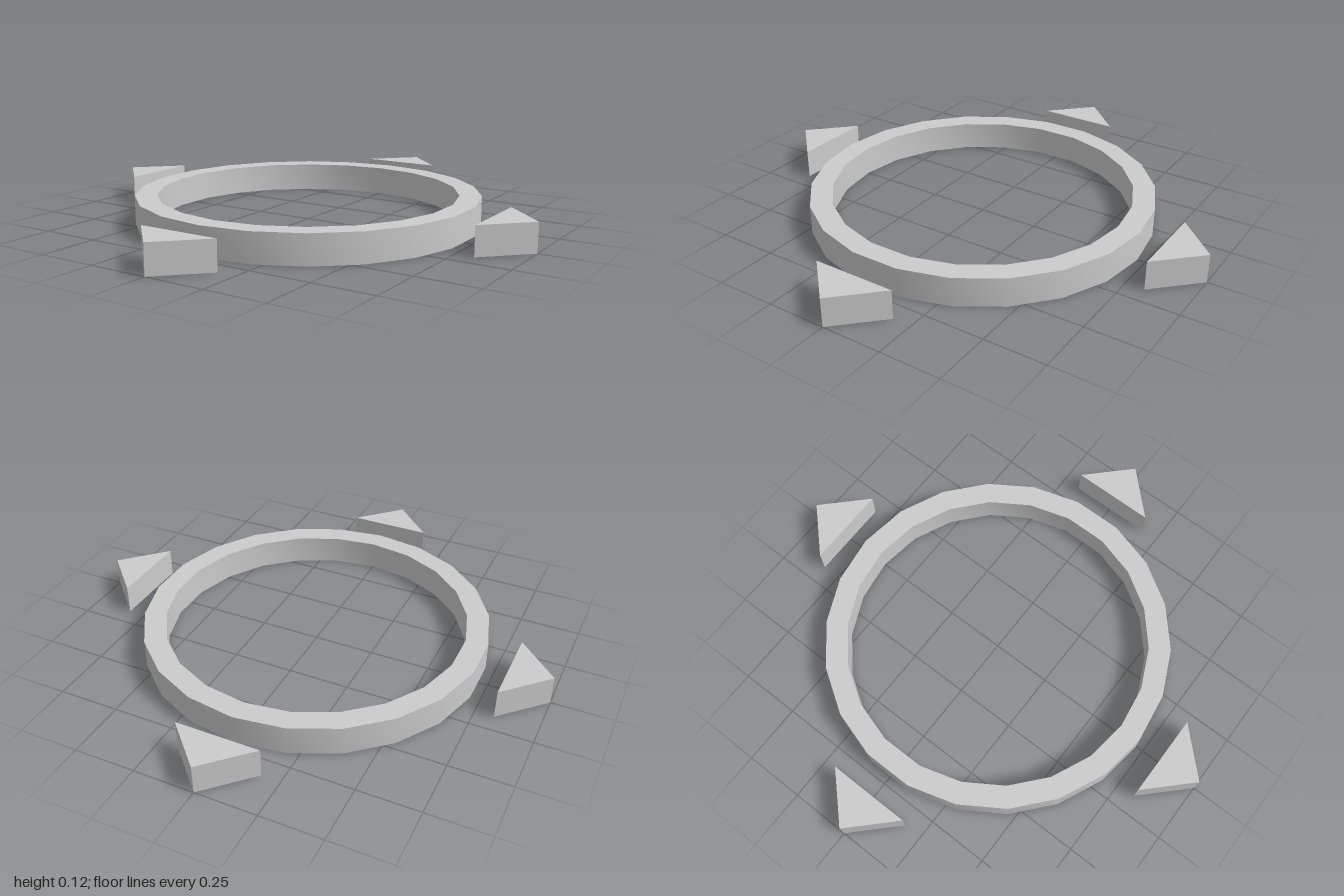
import * as THREE from 'three';
import { toCreasedNormals } from 'three/addons/utils/BufferGeometryUtils.js';

const HEIGHT = 0.12;
const SIDES = 22;

export function createModel() {
  const model = new THREE.Group();
  model.name = 'ringWithArrows';
  const material = new THREE.MeshStandardMaterial({ color: 0xcccccc });

  // Ring: a rectangular section turned around the vertical axis
  const inner = 0.626, outer = 0.717;
  const section = [
    [inner, 0], [outer, 0], [outer, HEIGHT], [inner, HEIGHT], [inner, 0],
  ].map(([r, y]) => new THREE.Vector2(r, y));
  const ringGeometry = toCreasedNormals(new THREE.LatheGeometry(section, SIDES), Math.PI / 6);
  const ring = new THREE.Mesh(ringGeometry, material);
  ring.name = 'ring';
  model.add(ring);

  // Arrow: a triangular prism lying flat, its tip pointing along +x
  const base = 0.827, halfWidth = 0.173;
  const triangle = new THREE.Shape([
    new THREE.Vector2(base, -halfWidth),
    new THREE.Vector2(1, 0),
    new THREE.Vector2(base, halfWidth),
  ]);
  const arrowGeometry = new THREE.ExtrudeGeometry(triangle, { depth: HEIGHT, bevelEnabled: false });
  arrowGeometry.rotateX(-Math.PI / 2);

  // Four arrows pointing outwards, a quarter turn apart
  ['leftArrow', 'backArrow', 'rightArrow', 'frontArrow'].forEach((name, i) => {
    const arrow = new THREE.Mesh(arrowGeometry, material);
    arrow.name = name;
    arrow.rotation.y = (i * Math.PI) / 2;
    model.add(arrow);
  });

  return model;
}
